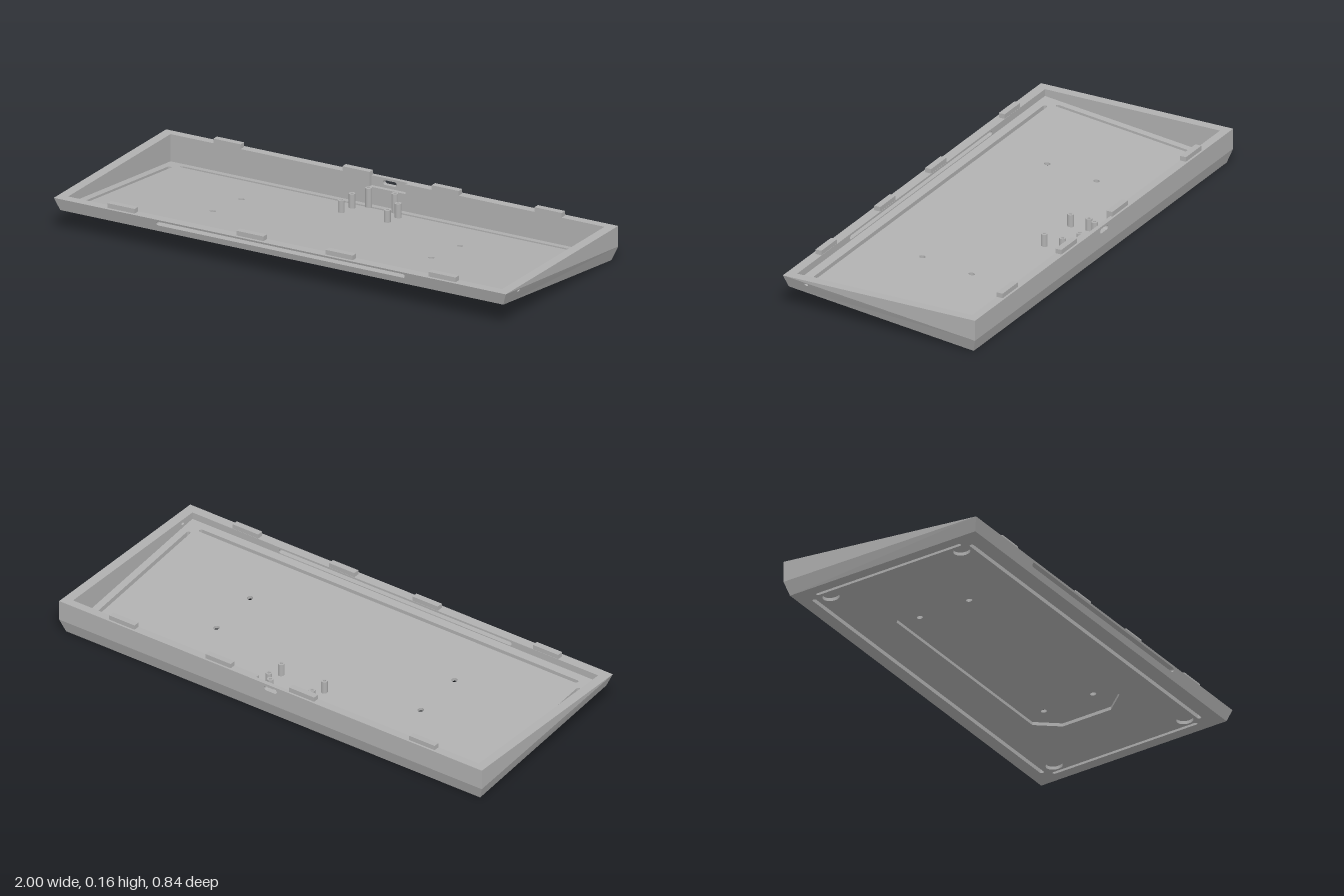
import * as THREE from 'three';

const TOP = 0.138, OX = 1, OZ = 0.42;            // rim height and outer half sizes
const IX = 0.96, IF = 0.38, IB = -0.385;         // inner cavity limits
const BX = 0.98, BF = 0.405, BB = -0.403;        // underside outline
const FLOOR = 0.025, RECESS = 0.013;
const NX = 0.08, NY = 0.098, NZ = -0.402;        // connector notch in the back wall
const under = z => 0.087 * (z - BB) / (BF - BB); // sloping underside
const crease = z => TOP - 0.084 * (OZ - z) / (2 * OZ);
const floorTop = z => under(z) + FLOOR;

const poly = pts => new THREE.Shape(pts.map(p => new THREE.Vector2(...p)));
const rect = (x0, x1, y0, y1) => poly([[x0, y0], [x1, y0], [x1, y1], [x0, y1]]);
const disc = (x, y, r) => new THREE.Shape().absarc(x, y, r, 0, Math.PI * 2);

// Fully rounded slot outline
function slot(x0, x1, y0, y1) {
  const r = Math.min(x1 - x0, y1 - y0) / 2, s = new THREE.Shape();
  if (x1 - x0 > y1 - y0) {
    s.absarc(x1 - r, y0 + r, r, -Math.PI / 2, Math.PI / 2);
    s.absarc(x0 + r, y0 + r, r, Math.PI / 2, Math.PI * 1.5);
  } else {
    s.absarc(x0 + r, y1 - r, r, 0, Math.PI);
    s.absarc(x0 + r, y0 + r, r, Math.PI, Math.PI * 2);
  }
  return s;
}

export function createModel() {
  const model = new THREE.Group();
  const grey = new THREE.MeshStandardMaterial({ color: 0xb0b0b0, side: THREE.DoubleSide });
  grey.name = 'caseGrey';

  const add = (name, geo) => {
    const m = new THREE.Mesh(geo, grey);
    m.name = name;
    model.add(m);
    return m;
  };

  // Move every vertex by a rule and give flat normals
  function bend(geo, rule) {
    const g = geo.index ? geo.toNonIndexed() : geo, p = g.attributes.position;
    for (let i = 0; i < p.count; i++) p.setXYZ(i, ...rule(p.getX(i), p.getY(i), p.getZ(i)));
    g.computeVertexNormals();
    return g;
  }
  const panel = (name, shape, holes, rule) => {
    shape.holes.push(...holes);
    return add(name, bend(new THREE.ShapeGeometry(shape, 10), rule));
  };
  // Sides of an opening between two surfaces a and b
  function tunnel(name, outline, a, b) {
    const pts = outline.getPoints(10), pos = [];
    pts.forEach((p, i) => {
      const q = pts[(i + 1) % pts.length];
      const A = a(p.x, p.y), B = a(q.x, q.y), C = b(q.x, q.y), D = b(p.x, p.y);
      pos.push(...A, ...B, ...C, ...A, ...C, ...D);
    });
    const g = new THREE.BufferGeometry();
    g.setAttribute('position', new THREE.Float32BufferAttribute(pos, 3));
    g.computeVertexNormals();
    add(name, g);
  }

  // Front wall with a long slot
  const frontOut = (x, y) => [x, y, BF + (y - 0.087) / (TOP - 0.087) * (OZ - BF)];
  const frontIn = (x, y) => [x, y, IF];
  const bar = slot(-0.55, 0.55, 0.113, 0.13);
  panel('frontWallOuter', poly([[-BX, 0.087], [BX, 0.087], [OX, TOP], [-OX, TOP]]), [bar], frontOut);
  panel('frontWallInner', rect(-IX, IX, floorTop(IF), TOP), [bar], frontIn);
  tunnel('frontSlot', bar, frontOut, frontIn);

  // Back wall with notch and connector opening
  const yc = crease(-OZ), port = slot(-0.03, 0.03, 0.11, 0.129);
  const backOut = (x, y) => [x, y, -OZ], notchFace = (x, y) => [x, y, NZ];
  panel('backWallOuter', rect(-OX, OX, yc, TOP), [port], backOut);
  panel('backWallTaper', poly([[-BX, 0], [BX, 0], [OX, yc], [-OX, yc]]), [],
    (x, y) => [x, y, BB + (y / yc) * (-OZ - BB)]);
  const fb = floorTop(IB);
  panel('backWallInner', poly([[-IX, fb], [IX, fb], [IX, TOP], [NX, TOP], [NX, NY], [-NX, NY], [-NX, TOP], [-IX, TOP]]),
    [], (x, y) => [x, y, IB]);
  panel('notchBack', rect(-NX, NX, NY, TOP), [port], notchFace);
  panel('notchSill', rect(-NX, NX, NZ, IB), [], (x, z) => [x, NY, z]);
  for (const s of [-1, 1]) panel('notchSide', rect(NZ, IB, NY, TOP), [], (z, y) => [s * NX, y, z]);
  tunnel('connectorOpening', port, backOut, notchFace);

  // Side walls: upright upper wedge, tapered lower band, inner face
  for (const s of [-1, 1]) {
    const sideOut = (z, y) => [s * (OX - (OX - BX) * (crease(z) - y) / (crease(z) - under(z))), y, z];
    const sideIn = (z, y) => [s * IX, y, z];
    const hole = poly([[0.311, 0.124], [0.311, 0.118], [0.316, 0.114], [0.322, 0.114], [0.327, 0.118], [0.327, 0.124]]);
    const holes = s > 0 ? [hole] : [];
    panel('sideWallUpper', poly([[-OZ, yc], [OZ, TOP], [-OZ, TOP]]), [], (z, y) => [s * OX, y, z]);
    panel('sideWallTaper', poly([[BB, 0], [BF, 0.087], [OZ, TOP], [-OZ, yc]]), holes, sideOut);
    panel('sideWallInner', poly([[IB, fb], [IF, floorTop(IF)], [IF, TOP], [IB, TOP]]), holes, sideIn);
    if (s > 0) tunnel('sideHole', hole, sideOut, sideIn);
  }

  // Flat rim around the cavity
  const cavity = poly([[-IX, IB], [-NX, IB], [-NX, NZ], [NX, NZ], [NX, IB], [IX, IB], [IX, IF], [-IX, IF]]);
  panel('rim', rect(-OX, OX, -OZ, OZ), [cavity], (x, z) => [x, TOP, z]);

  // Sloping floor in two layers: drilled plate above, recessed plate below
  const through = () => [
    slot(-0.895, 0.895, -0.356, -0.34), slot(-0.895, 0.895, 0.33, 0.346),
    slot(-0.93, -0.914, -0.32, 0.31), slot(0.914, 0.93, -0.32, 0.31)];
  const screws = [];
  for (const x of [-0.485, 0.482]) for (const z of [-0.113, 0.102]) screws.push(disc(x, z, 0.012));
  const hx = 0.615, hz = 0.19, c = 0.085;
  const octagon = poly([[-hx, -hz + c], [-hx + c, -hz], [hx - c, -hz], [hx, -hz + c],
    [hx, hz - c], [hx - c, hz], [-hx + c, hz], [-hx, hz - c]]);
  const feet = [];
  for (const x of [-0.87, 0.87]) for (const z of [-0.285, 0.285]) feet.push(disc(x, z, 0.033));

  function layer(name, holes, y0, y1) {
    const shape = rect(-BX, BX, BB, BF);
    shape.holes.push(...holes);
    const g = new THREE.ExtrudeGeometry(shape, { depth: y1 - y0, bevelEnabled: false, curveSegments: 12 });
    g.rotateX(Math.PI / 2);
    add(name, bend(g, (x, y, z) => [x, y + y1 + under(z), z]));
  }
  layer('floorPlate', [...through(), ...screws], RECESS, FLOOR);
  layer('undersidePlate', [...through(), octagon, ...feet], 0, RECESS);

  // Locating tabs on the front and back rims
  for (const x of [-0.71, -0.14, 0.255, 0.71]) {
    for (const z of [-0.398, 0.394]) {
      add('rimTab', new THREE.BoxGeometry(0.12, 0.021, 0.026)).position.set(x, TOP + 0.0085, z);
    }
  }

  // Hollow screw posts
  function post(x, z, top) {
    const h = top - floorTop(z) + 0.004;
    const pts = [[0.013, 0], [0.013, h], [0.006, h], [0.006, 0.01], [0, 0.01]].map(p => new THREE.Vector2(...p));
    const g = bend(new THREE.LatheGeometry(pts, 20), (a, b, d) => [a, b, d]);
    add('screwPost', g).position.set(x, floorTop(z) - 0.004, z);
  }
  for (const x of [-0.104, 0.1]) for (const z of [-0.295, -0.215]) post(x, z, 0.095);
  for (const x of [-0.06, 0.056]) post(x, -0.345, 0.11);

  return model;
}
